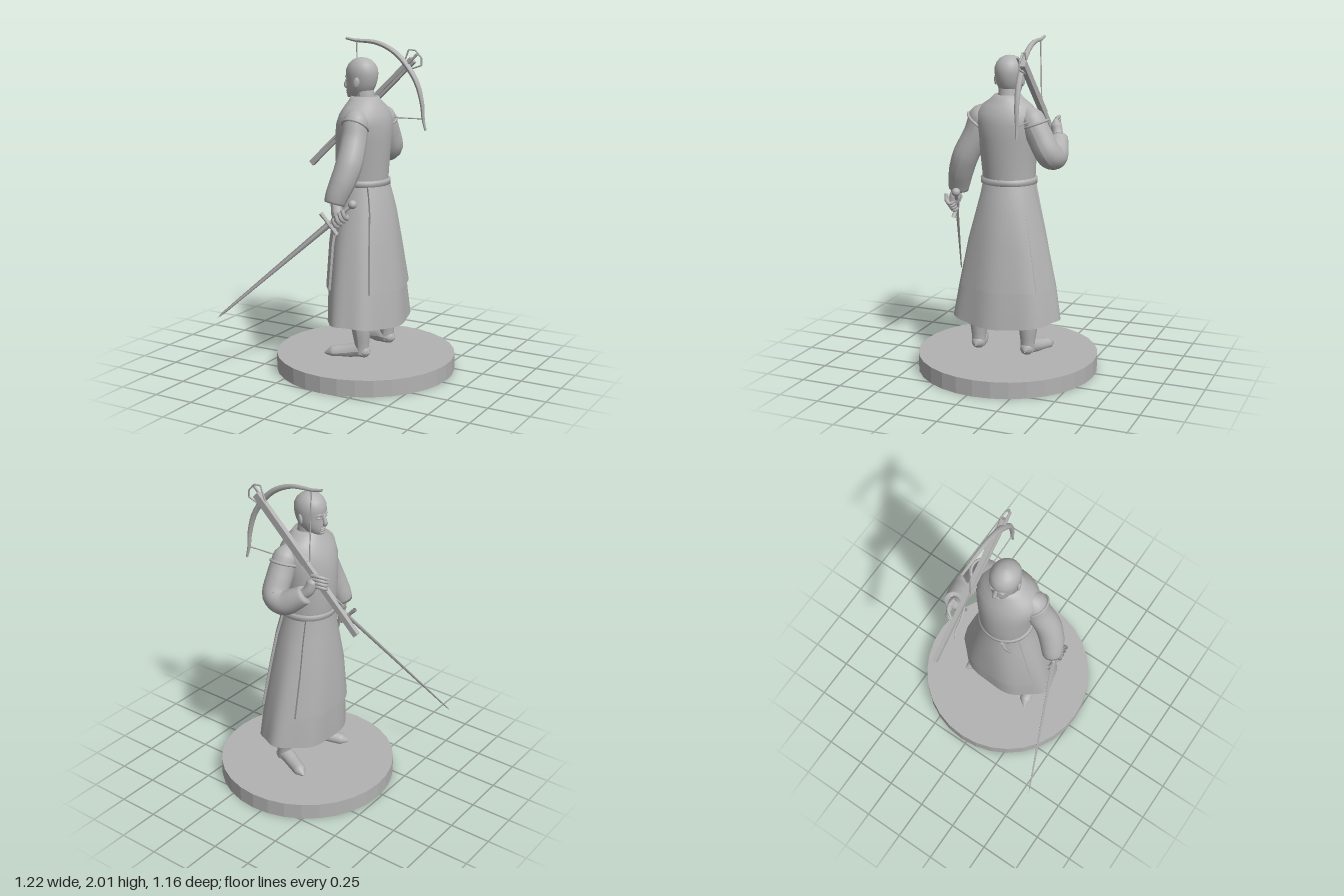
import * as THREE from 'three';
import { toCreasedNormals } from 'three/addons/utils/BufferGeometryUtils.js';

const V = (p) => new THREE.Vector3(p[0], p[1], p[2]);

export function createModel() {
  const model = new THREE.Group();
  model.name = 'armedFigure';
  const stone = new THREE.MeshStandardMaterial({ color: 0xb2b2b2, side: THREE.DoubleSide });
  stone.name = 'grey stone';

  const add = (name, geometry, parent = model) => {
    const mesh = new THREE.Mesh(geometry, stone);
    mesh.name = name;
    parent.add(mesh);
    return mesh;
  };
  const group = (name) => {
    const g = new THREE.Group();
    g.name = name;
    model.add(g);
    return g;
  };

  // Surface through oval sections [y, xMin, xMax, zMin, zMax], listed upwards
  const loft = (sections, { from = 0, to = Math.PI * 2, off = 0, fold = 0, lift = 0, n = 48 } = {}) => {
    const closed = to - from > 6.28, cols = closed ? n : n + 1, pos = [], index = [];
    sections.forEach(([y, x0, x1, z0, z1], i) => {
      for (let j = 0; j < cols; j++) {
        const a = from + (to - from) * j / n, c = Math.cos(a), s = Math.sin(a);
        const edge = off && (i === 0 || j === 0 || j === n);
        const k = 1 + fold * Math.sin(7 * a + 1) * Math.max(0, 1.12 - y);
        const rx = (x1 - x0) / 2 * k + (edge ? 0 : off), rz = (z1 - z0) / 2 * k + (edge ? 0 : off);
        pos.push((x0 + x1) / 2 + rx * c, y + (i === 0 ? lift * s * s : 0), (z0 + z1) / 2 + rz * s);
      }
    });
    for (let i = 0; i < sections.length - 1; i++) {
      for (let j = 0; j < n; j++) {
        const a = i * cols + j, b = i * cols + (j + 1) % cols, c = a + cols, d = b + cols;
        index.push(a, c, b, b, c, d);
      }
    }
    const g = new THREE.BufferGeometry();
    g.setAttribute('position', new THREE.Float32BufferAttribute(pos, 3));
    g.setIndex(index);
    g.computeVertexNormals();
    return off ? toCreasedNormals(g, 0.7) : g;
  };

  // Smooth limb through points [x, y, z, radius]
  const limb = (pts, rows = 24, sides = 14) => {
    const curve = new THREE.CatmullRomCurve3(pts.map(V));
    const g = new THREE.TubeGeometry(curve, rows, 1, sides);
    const p = g.attributes.position, v = new THREE.Vector3();
    for (let i = 0; i <= rows; i++) {
      const c = curve.getPointAt(i / rows), t = curve.getUtoTmapping(i / rows) * (pts.length - 1);
      const k = Math.min(pts.length - 2, Math.floor(t));
      const r = THREE.MathUtils.lerp(pts[k][3], pts[k + 1][3], t - k);
      for (let j = 0; j <= sides; j++) {
        const q = i * (sides + 1) + j;
        v.fromBufferAttribute(p, q).sub(c).multiplyScalar(r).add(c);
        p.setXYZ(q, v.x, v.y, v.z);
      }
    }
    g.computeVertexNormals();
    return g;
  };

  // Straight tapered rod between two points
  const rod = (name, a, b, ra, rb, parent, sides = 10, flat = 1) => {
    const d = V(b).sub(V(a));
    const m = add(name, new THREE.CylinderGeometry(rb, ra, d.length(), sides), parent);
    m.scale.z = flat;
    m.position.copy(V(a)).addScaledVector(d, 0.5);
    m.quaternion.setFromUnitVectors(new THREE.Vector3(0, 1, 0), d.normalize());
    return m;
  };
  const ball = (name, p, s, parent) => {
    const m = add(name, new THREE.SphereGeometry(1, 20, 14), parent);
    m.position.set(...p);
    m.scale.set(...s);
    return m;
  };

  // Base
  const base = add('base', toCreasedNormals(new THREE.CylinderGeometry(0.547, 0.547, 0.1, 32), 0.1));
  base.position.set(0.06, 0.05, -0.035);

  // Legs and shoes, toes turned out
  for (const [side, z, toe] of [['left', 0.13, 0.2], ['right', -0.19, -0.275]]) {
    const leg = group(side + 'Leg');
    add('stocking', limb([[0.1, 0.6, z, 0.07], [0.11, 0.38, z, 0.065], [0.12, 0.28, z, 0.056],
      [0.125, 0.2, z, 0.044], [0.125, 0.14, z, 0.042]]), leg);
    const shoe = limb([[0.178, 0.145, z, 0.006], [0.16, 0.15, z, 0.036], [0.11, 0.16, z, 0.046],
      [0.03, 0.145, (z * 2 + toe) / 3, 0.042], [-0.05, 0.135, (z + toe * 3) / 4, 0.038], [-0.095, 0.128, toe, 0.004]]);
    const p = shoe.attributes.position;
    for (let i = 0; i < p.count; i++) p.setY(i, Math.max(0.118, p.getY(i)));
    shoe.computeVertexNormals();
    add('shoe', shoe, leg);
  }

  // Long skirt with open front and back panels laid over it
  const skirt = [[0.305, -0.138, 0.305, -0.365, 0.3], [0.53, -0.143, 0.287, -0.335, 0.265], [0.8, -0.135, 0.255, -0.275, 0.21],
    [1.0, -0.115, 0.225, -0.225, 0.155], [1.1, -0.105, 0.2, -0.2, 0.13], [1.17, -0.1, 0.18, -0.185, 0.118]];
  add('skirt', loft(skirt, { fold: 0.035, lift: 0.03, n: 72 }));
  const panel = [skirt[1], ...skirt.slice(1)];
  add('frontPanel', loft(panel, { from: 2.1, to: 4.18, off: 0.013, fold: 0.035 }));
  add('backPanel', loft(panel, { from: -0.9, to: 0.9, off: 0.013, fold: 0.035 }));

  // Vest, belt and collar
  add('vest', loft([[1.14, -0.105, 0.188, -0.19, 0.12], [1.2, -0.118, 0.192, -0.192, 0.126], [1.3, -0.122, 0.2, -0.196, 0.136],
    [1.42, -0.12, 0.21, -0.208, 0.15], [1.51, -0.108, 0.213, -0.22, 0.165], [1.57, -0.085, 0.2, -0.215, 0.16],
    [1.615, -0.06, 0.175, -0.18, 0.12], [1.65, -0.04, 0.15, -0.13, 0.07], [1.675, -0.03, 0.135, -0.105, 0.045],
    [1.665, -0.015, 0.12, -0.09, 0.03], [1.62, 0, 0.11, -0.08, 0.02]]));
  add('belt', loft([[1.145, -0.1, 0.18, -0.185, 0.115], [1.15, -0.118, 0.203, -0.204, 0.134],
    [1.18, -0.12, 0.203, -0.204, 0.136], [1.188, -0.1, 0.18, -0.185, 0.115]]));
  add('beltTail', limb([[-0.112, 1.17, 0.04, 0.012], [-0.112, 1.12, 0.06, 0.012],
    [-0.1, 1.07, 0.075, 0.01], [-0.085, 1.02, 0.085, 0.009]], 12, 6));

  // Head and neck
  const head = group('head');
  const cz = -0.033;
  const skull = [[1.658, -0.04, 0, 0.008], [1.663, -0.055, 0.04, 0.034], [1.68, -0.063, 0.08, 0.053], [1.71, -0.064, 0.105, 0.068],
    [1.74, -0.064, 0.119, 0.077], [1.77, -0.062, 0.127, 0.082], [1.8, -0.067, 0.131, 0.086], [1.83, -0.064, 0.129, 0.085],
    [1.86, -0.05, 0.115, 0.075], [1.883, -0.025, 0.09, 0.055], [1.896, 0.0, 0.06, 0.03], [1.9, 0.029, 0.031, 0.001]];
  add('skull', loft(skull.map(([y, a, b, w]) => [y, a, b, cz - w, cz + w])), head);
  add('neck', limb([[0.06, 1.58, cz, 0.065], [0.055, 1.65, cz, 0.06], [0.045, 1.72, cz, 0.057]]), head);
  add('nose', limb([[-0.058, 1.79, cz, 0.008], [-0.068, 1.76, cz, 0.011], [-0.077, 1.73, cz, 0.014],
    [-0.064, 1.717, cz, 0.009]], 12, 10), head);
  for (const y of [1.69, 1.7]) ball('lip', [-0.061, y, cz], [0.009, 0.006, 0.024], head);
  ball('chin', [-0.05, 1.672, cz], [0.015, 0.013, 0.022], head);
  for (const s of [-1, 1]) {
    ball('eye', [-0.051, 1.765, cz + s * 0.031], [0.011, 0.008, 0.014], head);
    add('brow', limb([[-0.063, 1.781, cz + s * 0.012, 0.005], [-0.058, 1.787, cz + s * 0.034, 0.007],
      [-0.04, 1.78, cz + s * 0.054, 0.003]], 10, 8), head);
    const ear = ball('ear', [0.04, 1.755, cz + s * 0.084], [0.019, 0.032, 0.01], head);
    ear.rotation.set(0, s * 0.35, -0.15);
  }

  // Left arm, lowered and holding the sword
  const leftArm = group('leftArm');
  add('sleeve', limb([[0.075, 1.59, 0.08, 0.035], [0.08, 1.545, 0.12, 0.075], [0.085, 1.44, 0.155, 0.077], [0.09, 1.3, 0.225, 0.079],
    [0.07, 1.2, 0.265, 0.075], [0.045, 1.12, 0.29, 0.067], [0.035, 1.075, 0.3, 0.058], [0.04, 1.085, 0.3, 0.03]], 36, 20), leftArm);
  add('palm', limb([[0.045, 1.09, 0.3, 0.03], [0.062, 1.03, 0.312, 0.036], [0.072, 0.985, 0.325, 0.028], [0.075, 0.965, 0.33, 0.004]]), leftArm);
  for (let i = 0; i < 4; i++) {
    const x = 0.05 + i * 0.021, y = 0.975 + i * 0.018;
    add('finger', limb([[x, y + 0.03, 0.345, 0.011], [x + 0.012, y - 0.008, 0.34, 0.012],
      [x + 0.016, y - 0.028, 0.315, 0.011], [x + 0.005, y - 0.012, 0.292, 0.007]], 10, 8), leftArm);
  }

  // Right arm, bent up to steady the crossbow
  const rightArm = group('rightArm');
  add('sleeve', limb([[0.08, 1.59, -0.14, 0.035], [0.085, 1.54, -0.19, 0.075], [0.09, 1.44, -0.245, 0.077], [0.08, 1.335, -0.3, 0.077],
    [0.01, 1.315, -0.312, 0.074], [-0.07, 1.36, -0.3, 0.064], [-0.125, 1.4, -0.285, 0.053], [-0.115, 1.395, -0.285, 0.025]], 40, 20), rightArm);
  add('palm', limb([[-0.1, 1.38, -0.288, 0.03], [-0.14, 1.425, -0.272, 0.033], [-0.155, 1.475, -0.257, 0.034],
    [-0.155, 1.51, -0.25, 0.006]]), rightArm);
  for (let i = 0; i < 4; i++) {
    const x = -0.165 - i * 0.004, y = 1.513 - i * 0.021;
    add('finger', limb([[x + 0.015, y, -0.262, 0.011], [x - 0.03, y + 0.006, -0.262, 0.0115],
      [x - 0.06, y - 0.002, -0.245, 0.01], [x - 0.074 + i * 0.007, y - 0.014, -0.222, 0.006]], 10, 8), rightArm);
  }
  add('thumb', limb([[-0.135, 1.43, -0.265, 0.014], [-0.13, 1.405, -0.225, 0.013], [-0.135, 1.42, -0.19, 0.008]], 10, 8), rightArm);

  // Vest armholes
  for (const [z, tilt] of [[0.14, -0.3], [-0.215, 0.4]]) {
    const hem = add('armholeHem', new THREE.TorusGeometry(0.078, 0.008, 8, 32));
    hem.position.set(0.083, 1.51, z);
    hem.rotation.x = tilt * -3;
  }

  // Sword
  const sword = group('sword');
  const tip = V([-0.61, 0.37, 0.58]), pommel = V([0.15, 1.09, 0.265]);
  const along = (t) => tip.clone().lerp(pommel, t).toArray();
  rod('blade', along(0.05), along(0.815), 0.008, 0.02, sword, 4, 0.55);
  rod('bladeTip', along(0), along(0.05), 0.001, 0.008, sword, 4, 0.55);
  rod('grip', along(0.81), along(0.97), 0.013, 0.011, sword);
  ball('pommel', along(0.985), [0.026, 0.026, 0.026], sword);
  const g = along(0.82);
  add('guard', limb([[g[0] - 0.055, g[1] + 0.058, g[2], 0.014], [g[0] - 0.02, g[1] + 0.022, g[2], 0.011], [...g, 0.016],
    [g[0] + 0.02, g[1] - 0.022, g[2], 0.011], [g[0] + 0.052, g[1] - 0.056, g[2], 0.014]], 16, 10), sword);

  // Crossbow: u runs up the stock, w across it
  const crossbow = group('crossbow');
  const at = (u, w, z = -0.213) => [-0.43 + 0.72 * u - 0.69 * w, 1.205 + 0.69 * u + 0.72 * w, z];
  const box = (name, u0, u1, w, width, depth, z = -0.213) => {
    const m = add(name, new THREE.BoxGeometry(u1 - u0, width, depth), crossbow);
    m.position.set(...at((u0 + u1) / 2, w, z));
    m.rotation.z = Math.atan2(0.69, 0.72);
  };
  box('stock', 0, 0.55, 0, 0.036, 0.026);
  box('foreStock', 0.5, 0.98, 0, 0.044, 0.03);
  box('bolt', 0.48, 1.03, 0, 0.012, 0.012, -0.193);
  const bow = [[-0.16, 1.998, 0.008], [-0.1, 1.987, 0.01], [0.05, 1.975, 0.014], [0.17, 1.92, 0.017], [0.255, 1.835, 0.019],
    [0.315, 1.735, 0.017], [0.345, 1.62, 0.014], [0.352, 1.53, 0.01], [0.366, 1.465, 0.007]];
  add('bow', limb(bow.map(([x, y, r], i) => [x, y, -0.178 - i * 0.004, r]), 40, 8), crossbow);
  const nock = [-0.083, 1.53, -0.193];
  rod('bowstring', [-0.088, 1.985, -0.18], nock, 0.004, 0.004, crossbow, 6);
  rod('bowstring', [0.35, 1.535, -0.206], nock, 0.004, 0.004, crossbow, 6);
  for (const s of [-1, 1]) {
    rod('stirrupArm', at(0.91, s * 0.02), at(1.0, s * 0.062), 0.005, 0.005, crossbow, 6);
    rod('stirrupArm', at(1.0, s * 0.062), at(1.03, s * 0.03), 0.005, 0.005, crossbow, 6);
  }
  rod('stirrupBar', at(1.03, -0.03), at(1.03, 0.03), 0.005, 0.005, crossbow, 6);
  add('triggerLever', limb([[...at(0.4, 0, -0.195), 0.006], [...at(0.32, 0, -0.183), 0.006],
    [...at(0.24, 0, -0.18), 0.005], [...at(0.18, 0, -0.16), 0.003]], 14, 6), crossbow);

  return model;
}
